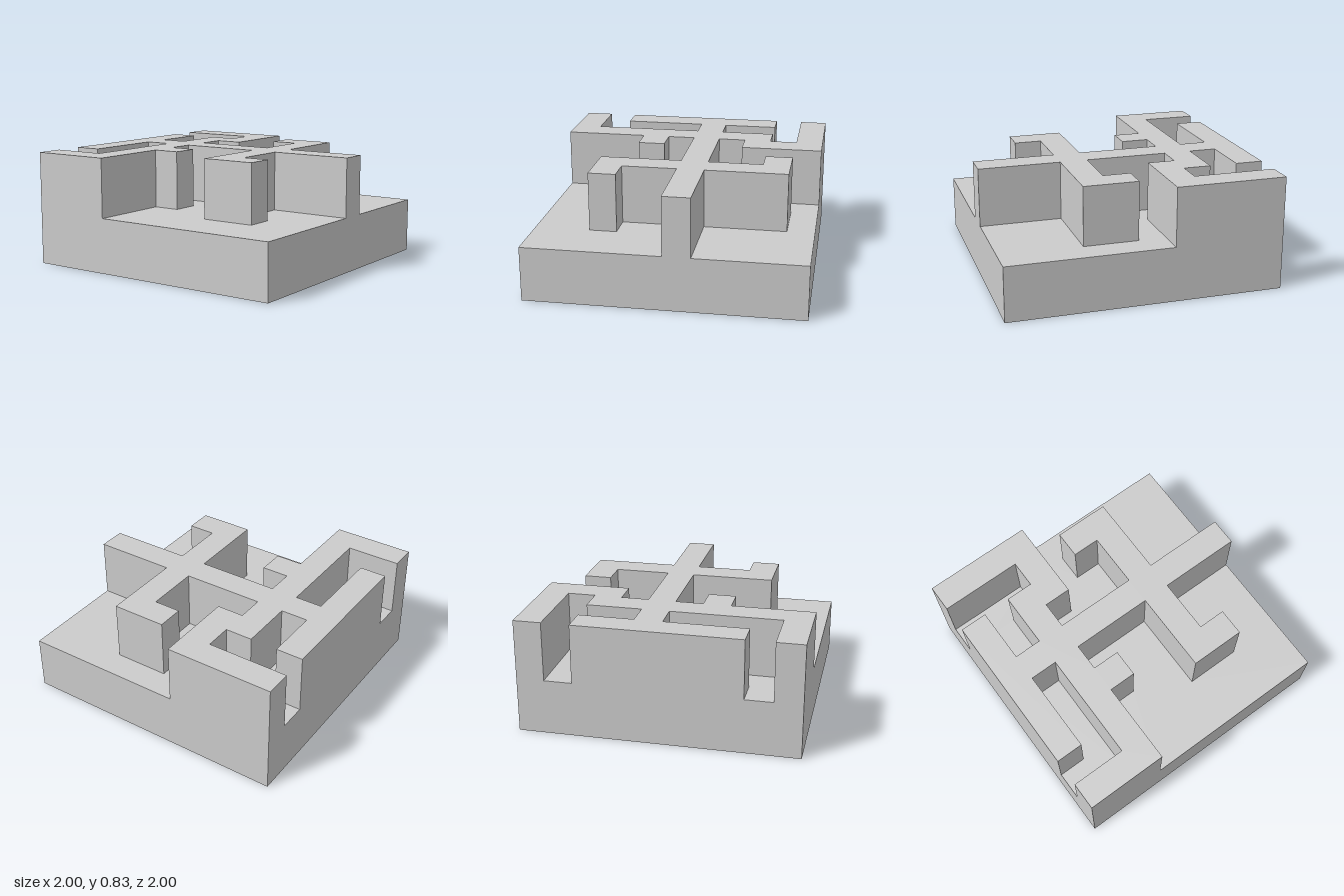
import * as THREE from 'three';

const FLOOR = 0.4, TOP = 0.83;
const material = new THREE.MeshStandardMaterial({ color: 0xcccccc, flatShading: true, side: THREE.DoubleSide });

// Pocket outlines as [x, z], each running from one point on the rim to another
const backPocket = [[-0.2, -1], [-0.2, -0.4], [-0.4, -0.4], [-0.4, -0.2], [0.2, -0.2], [0.2, -0.6],
  [0, -0.6], [0, -0.8], [0.4, -0.8], [0.4, -0.2], [1, -0.2]];
const frontPocket = [[1, 0], [0.4, 0], [0.4, 0.4], [0.6, 0.4], [0.6, 0.6], [0.2, 0.6], [0.2, 0],
  [-0.4, 0], [-0.4, 0.2], [-0.2, 0.2], [-0.2, 0.4], [-0.4, 0.4], [-0.4, 1]];
const frontSlot = [[-1, 0.8], [-0.6, 0.8], [-0.6, 0], [-0.8, 0], [-0.8, 0.6], [-1, 0.6]];
const backSlot = [[-1, -0.6], [-0.8, -0.6], [-0.8, -0.2], [-0.6, -0.2], [-0.6, -0.6],
  [-0.4, -0.6], [-0.4, -0.8], [-1, -0.8]];

// Outline of the raised maze, and of the square base
const maze = [[-1, -1], ...backPocket, ...frontPocket, [-1, 1], ...frontSlot, ...backSlot];
const square = [[-1, -1], [1, -1], [1, 1], [-1, 1]];

// Flat, upward-facing plate at height y
function plate(outline, y) {
  const shape = new THREE.Shape(outline.map(([x, z]) => new THREE.Vector2(x, -z)));
  return new THREE.ShapeGeometry(shape).rotateX(-Math.PI / 2).translate(0, y, 0);
}

// Upright walls along a closed outline, facing outwards
function walls(outline, y0, y1) {
  const p = [];
  outline.forEach(([ax, az], i) => {
    const [bx, bz] = outline[(i + 1) % outline.length];
    p.push(bx, y0, bz, ax, y0, az, ax, y1, az, bx, y0, bz, ax, y1, az, bx, y1, bz);
  });
  const g = new THREE.BufferGeometry();
  g.setAttribute('position', new THREE.Float32BufferAttribute(p, 3));
  g.computeVertexNormals();
  return g;
}

export function createModel() {
  const group = new THREE.Group();
  const add = (name, geometry) => {
    const mesh = new THREE.Mesh(geometry, material);
    mesh.name = name;
    group.add(mesh);
  };

  // Hollow shell, open underneath
  add('baseSides', walls(square, 0, FLOOR));
  add('mazeWalls', walls(maze, FLOOR, TOP));
  add('mazeTop', plate(maze, TOP));

  // Sunken floors
  add('backFloor', plate([...backPocket, [1, -1]], FLOOR));
  add('frontFloor', plate([...frontPocket, [1, 1]], FLOOR));
  add('frontSlotFloor', plate(frontSlot, FLOOR));
  add('backSlotFloor', plate(backSlot, FLOOR));
  return group;
}
